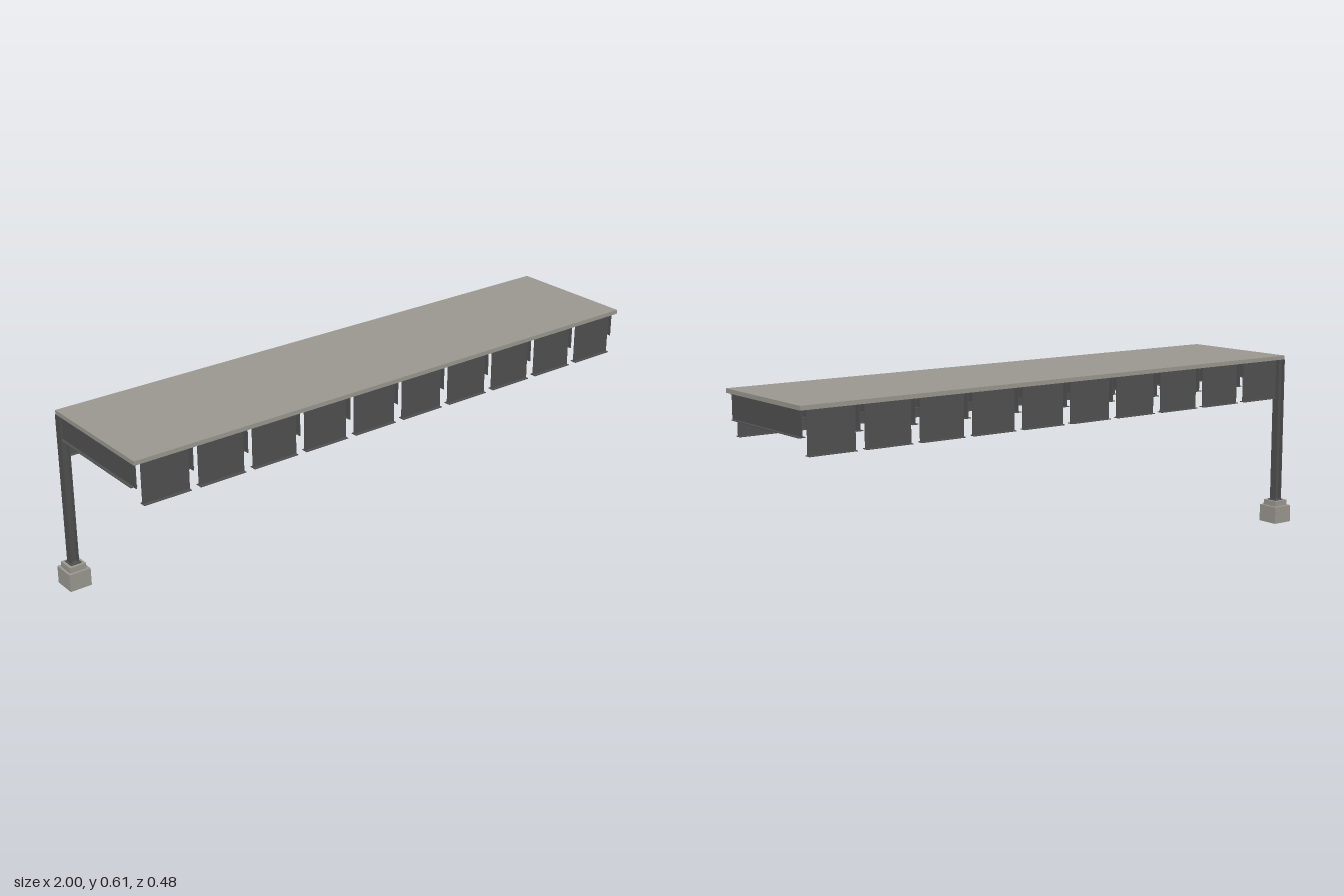
import * as THREE from 'three';

export function createModel() {
  const root = new THREE.Group();
  root.name = 'platformBay';

  const concrete = new THREE.MeshStandardMaterial({ color: 0x99978f });
  concrete.name = 'concrete';
  const steel = new THREE.MeshStandardMaterial({ color: 0x505050 });
  steel.name = 'dark steel';

  // Box given by its limits on each axis
  function box(parent, name, material, [x0, x1], [y0, y1], [z0, z1]) {
    const mesh = new THREE.Mesh(new THREE.BoxGeometry(x1 - x0, y1 - y0, z1 - z0), material);
    mesh.position.set((x0 + x1) / 2, (y0 + y1) / 2, (z0 + z1) / 2);
    mesh.name = name;
    parent.add(mesh);
  }
  const around = (c, width) => [c - width / 2, c + width / 2];

  const plate = 0.0024;
  const flange = 0.023;
  const top = 0.591;
  const colX = -0.963, backZ = -0.2, frontZ = 0.227;

  // Floor slab in two layers
  box(root, 'deckLayer', concrete, [-0.975, 0.998], [top, 0.598], [-0.215, 0.241]);
  box(root, 'slab', concrete, [-0.975, 0.998], [0.598, 0.605], [-0.215, 0.241]);

  // Stepped footing
  box(root, 'footing', concrete, [-1, -0.924], [0, 0.06], [-0.24, -0.162]);
  box(root, 'pedestal', concrete, [-0.992, -0.934], [0.06, 0.079], [-0.229, -0.171]);
  box(root, 'basePlate', steel, around(colX, 0.038), [0.079, 0.082], around(-0.2, 0.038));

  // H-section column
  const column = new THREE.Group();
  column.name = 'column';
  root.add(column);
  for (const s of [-1, 1]) {
    box(column, 'columnFlange', steel, around(colX + s * 0.0125, 0.003), [0.08, top], around(-0.201, 0.028));
  }
  box(column, 'columnWeb', steel, around(colX, 0.023), [0.08, top], around(-0.201, 0.003));

  // Deep edge girders, one piece per bay along front and back
  const pitch = 0.1948;
  for (const [side, z] of [['front', frontZ], ['back', backZ]]) {
    for (let i = 0; i < 10; i++) {
      const girder = new THREE.Group();
      girder.name = side + 'Girder';
      root.add(girder);
      const x = around(colX + (i + 0.5) * pitch, 0.163);
      box(girder, 'web', steel, x, [0.452, top], around(z, plate));
      for (const y of [0.452, top - plate]) {
        box(girder, 'flange', steel, x, [y, y + plate], around(z, flange));
      }
    }
  }

  // Shallower cross beams between the bays
  for (let i = 0; i <= 10; i++) {
    const beam = new THREE.Group();
    beam.name = 'crossBeam';
    root.add(beam);
    const x = colX + i * pitch;
    box(beam, 'web', steel, around(x, plate), [0.508, top], [backZ, frontZ]);
    for (const y of [0.508, top - plate]) {
      box(beam, 'flange', steel, around(x, flange), [y, y + plate], [backZ, 0.213]);
    }
  }
  return root;
}
